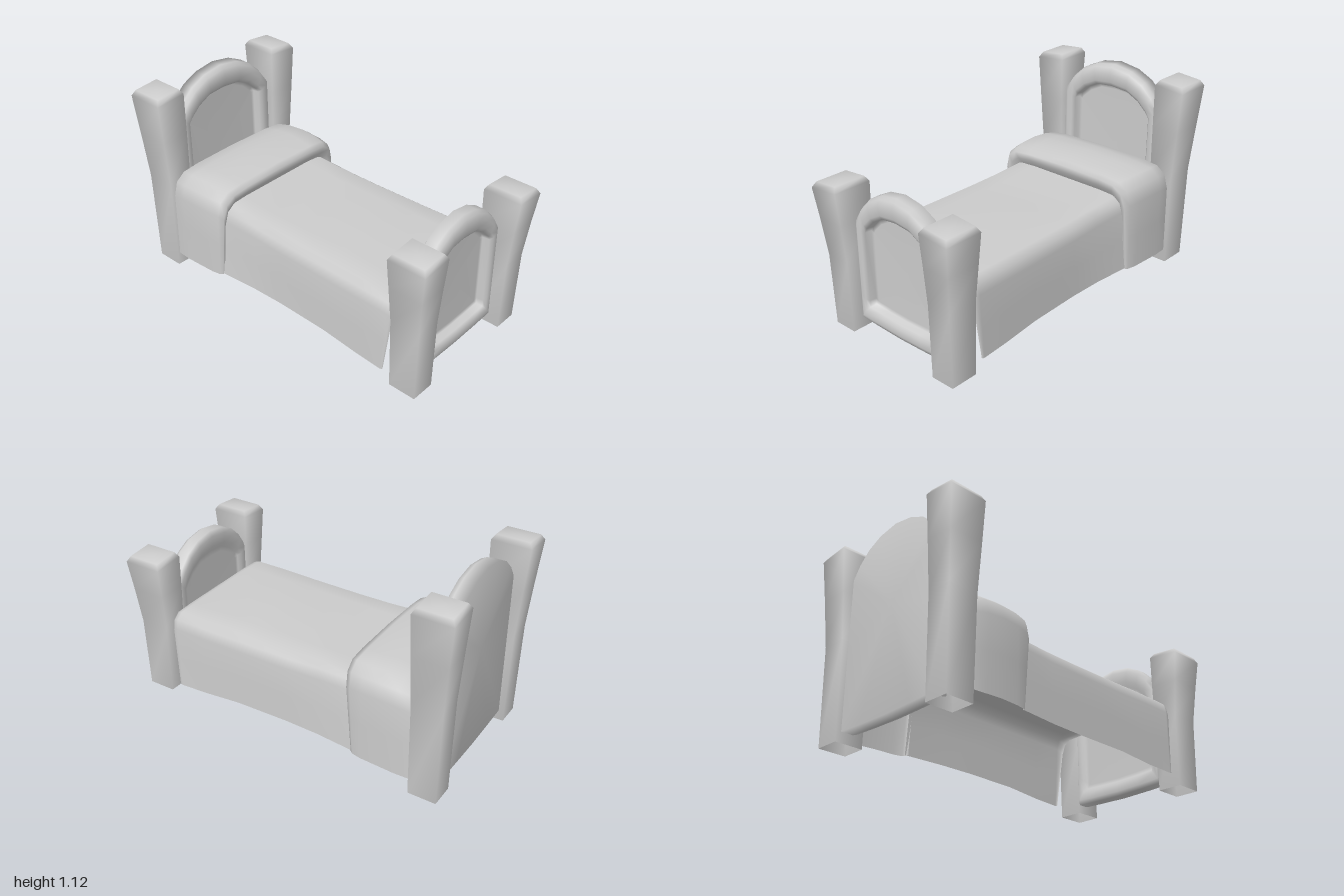
import * as THREE from 'three';

const material = new THREE.MeshStandardMaterial({ color: 0xcccccc, side: THREE.DoubleSide });

// Skin a list of rings (arrays of [x, y, z]) with smooth normals; ends may be closed with a fan.
function loft(name, rings, { closed = true, capStart = false, capEnd = false } = {}) {
  const n = rings[0].length;
  const positions = rings.flat(2);
  const index = [];
  const spans = closed ? n : n - 1;
  for (let i = 0; i < rings.length - 1; i++) {
    for (let j = 0; j < spans; j++) {
      const k = (j + 1) % n;
      const a = i * n + j, b = i * n + k, c = b + n, d = a + n;
      index.push(a, b, c, a, c, d);
    }
  }
  const cap = (i, flip) => {
    const centre = positions.length / 3;
    for (let axis = 0; axis < 3; axis++) {
      positions.push(rings[i].reduce((sum, p) => sum + p[axis], 0) / n);
    }
    for (let j = 0; j < n; j++) {
      const a = i * n + j, b = i * n + ((j + 1) % n);
      index.push(...(flip ? [b, a, centre] : [a, b, centre]));
    }
  };
  if (capStart) cap(0, true);
  if (capEnd) cap(rings.length - 1, false);
  const geometry = new THREE.BufferGeometry();
  geometry.setAttribute('position', new THREE.Float32BufferAttribute(positions, 3));
  geometry.setIndex(index);
  geometry.computeVertexNormals();
  const mesh = new THREE.Mesh(geometry, material);
  mesh.name = name;
  return mesh;
}

// Square post that widens upward and outward, open underneath, with a bevelled sloping top.
function post(name, side, end, inner, bottom, height) {
  // [height, outer offset in x, outer edge in z, inner edge in z, bevel inset]
  const levels = [
    [bottom, 0.14, 0.95, 0.79, 0],
    [height * 0.5, 0.145, 0.96, 0.785, 0],
    [height * 0.75, 0.165, 0.98, 0.78, 0],
    [height - 0.035, 0.182, 1.0, 0.777, 0],
    [height - 0.005, 0.182, 1.0, 0.777, 0.018],
  ];
  const rings = levels.map(([y, width, zOut, zIn, inset]) => {
    const xs = [side * (inner + inset), side * (inner + width - inset)].sort((a, b) => a - b);
    const zs = [end * (zIn + inset), end * (zOut - inset)].sort((a, b) => a - b);
    const slope = (x) => (y > height * 0.9 ? (inner + 0.09 - Math.abs(x)) * 0.09 : 0);
    return [[xs[0], zs[1]], [xs[1], zs[1]], [xs[1], zs[0]], [xs[0], zs[0]]]
      .map(([x, z]) => [x, y + slope(x), z]);
  });
  return loft(name, rings, { capEnd: true });
}

// Half outlines of the arched boards, from the bottom corner up to the crown.
const outerArch = [[0.345, 0.5], [0.345, 0.905], [0.29, 0.985], [0.22, 1.05], [0.125, 1.095], [0, 1.115]];
const innerArch = [[0.27, 0.45], [0.27, 0.85], [0.25, 0.88], [0.19, 0.935], [0.11, 0.975], [0, 0.985]];

// Arched board: each step of the section is [blend from outer to inner outline, z].
function board(name, scaleX, drop, section) {
  const place = (arch, bottomY) => {
    const half = arch.map(([x, y]) => [x * scaleX, y - drop]);
    const w = half[0][0];
    half.unshift([0, bottomY - 0.01], [w * 0.55, bottomY - 0.006], [w, bottomY]);
    const mirrored = half.slice(1, -1).reverse().map(([x, y]) => [-x, y]);
    return [...half, ...mirrored];
  };
  const outer = place(outerArch, 0.06);
  const inner = place(innerArch, 0.15);
  const rings = section.map(([t, z]) => outer.map(([x, y], i) => [
    THREE.MathUtils.lerp(x, inner[i][0], t),
    THREE.MathUtils.lerp(y, inner[i][1], t),
    z,
  ]));
  return loft(name, rings, { capStart: true, capEnd: true });
}

// Draped cloth: each section is [z, hem width, side width, hem y, edge height, crown height, tilt].
function drape(name, sections, round) {
  const rings = sections.map(([z, hem, w, y0, h, crown, tilt]) => {
    const half = [
      [hem, y0],
      [(hem + w) / 2, y0 + (h - y0) * 0.4],
      [w, h - round * 2],
      [w - round * 0.35, h - round * 0.75],
      [w - round * 1.2, h - round * 0.1],
      [w * 0.6, h + (crown - h) * 0.4],
      [0, crown],
    ];
    const full = [...half.map(([x, y]) => [-x, y]), ...half.slice(0, -1).reverse()];
    return full.map(([x, y]) => [x, y, z - tilt * (1 - y / h)]);
  });
  return loft(name, rings, { closed: false });
}

export function createModel() {
  const bed = new THREE.Group();
  bed.name = 'bed';

  // Four corner posts, taller at the head
  for (const [label, side] of [['left', 1], ['right', -1]]) {
    bed.add(post(`${label}HeadPost`, side, -1, 0.338, 0, 1.11));
    bed.add(post(`${label}FootPost`, side, 1, 0.3, 0.01, 0.855));
  }

  // Headboard has a flat back; footboard is recessed on both faces
  bed.add(board('headboard', 1, 0, [
    [0, -0.92], [0, -0.85], [0.12, -0.822], [0.4, -0.81], [0.8, -0.813],
    [1, -0.83], [1.04, -0.87], [1.25, -0.875],
  ]));
  bed.add(board('footboard', 0.9, 0.26, [
    [1.25, 0.807], [1, 0.805], [0.75, 0.787], [0.25, 0.785], [0, 0.8], [0, 0.86],
    [0.12, 0.882], [0.4, 0.893], [0.8, 0.89], [1, 0.875], [1.04, 0.835], [1.25, 0.83],
  ]));

  // Blanket hanging down both sides
  bed.add(drape('blanket', [
    [0.775, 0.425, 0.405, 0.07, 0.49, 0.49, 0.05],
    [0.765, 0.43, 0.415, 0.068, 0.51, 0.51, 0.04],
    [0.735, 0.43, 0.42, 0.065, 0.52, 0.52, 0.02],
    [0.55, 0.425, 0.42, 0.07, 0.52, 0.525, 0],
    [0.32, 0.42, 0.415, 0.088, 0.518, 0.537, 0],
    [0, 0.415, 0.41, 0.09, 0.518, 0.522, 0],
    [-0.2, 0.42, 0.405, 0.09, 0.523, 0.518, 0],
    [-0.44, 0.44, 0.41, 0.09, 0.53, 0.53, 0],
  ], 0.045));

  // Bedding raised over the pillow
  bed.add(drape('pillowCover', [
    [-0.425, 0.43, 0.41, 0.09, 0.53, 0.53, 0],
    [-0.395, 0.435, 0.425, 0.09, 0.57, 0.575, 0.045],
    [-0.385, 0.445, 0.44, 0.088, 0.61, 0.62, 0.055],
    [-0.42, 0.455, 0.458, 0.086, 0.623, 0.636, 0.03],
    [-0.5, 0.465, 0.472, 0.085, 0.63, 0.645, 0],
    [-0.6, 0.47, 0.477, 0.085, 0.632, 0.656, 0],
    [-0.7, 0.47, 0.473, 0.08, 0.625, 0.64, 0],
    [-0.785, 0.465, 0.46, 0.078, 0.61, 0.62, 0],
    [-0.815, 0.45, 0.44, 0.08, 0.57, 0.58, 0],
  ], 0.065));

  return bed;
}
